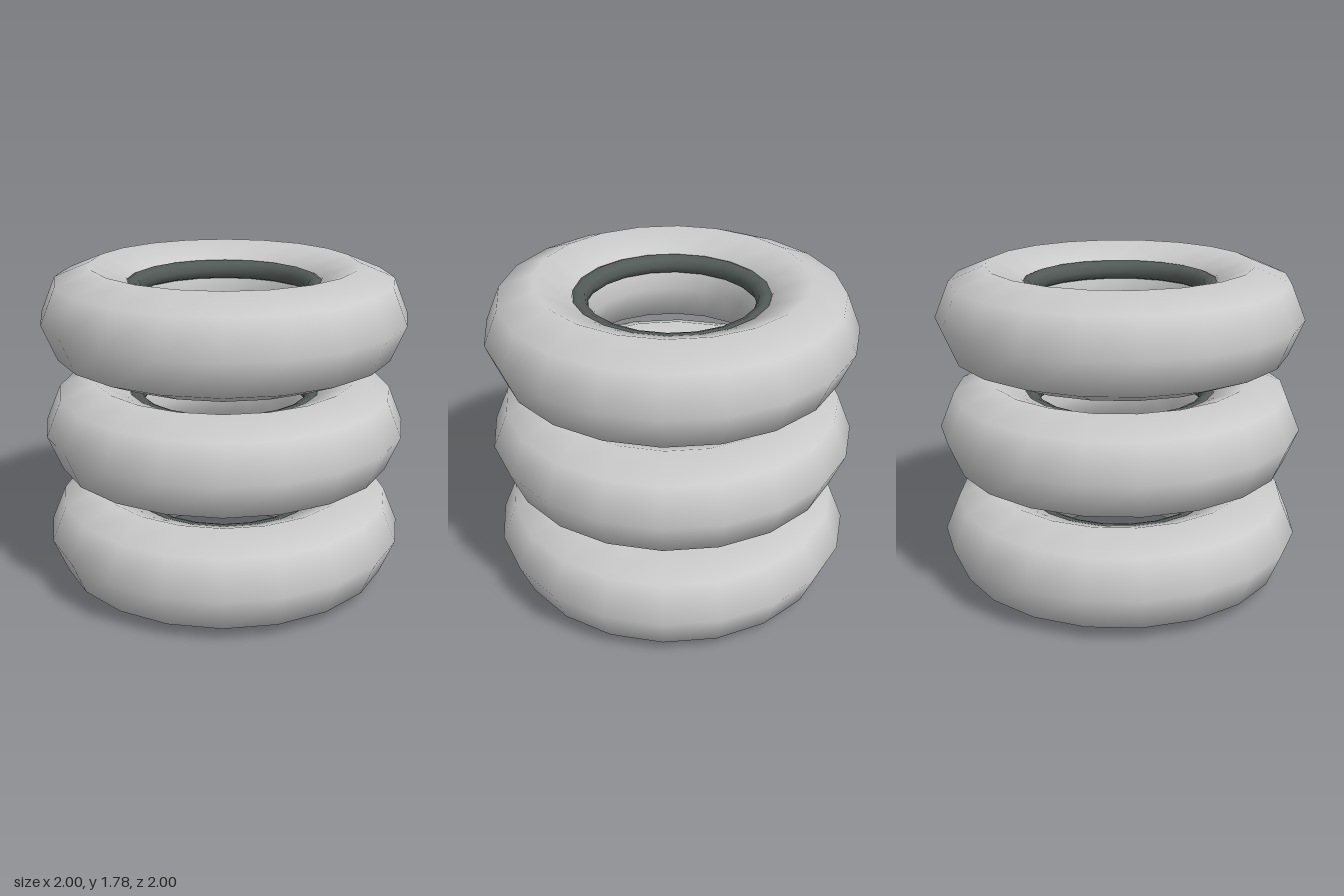
import * as THREE from 'three';

const TUBE = 0.275;      // radius of each fat ring's tube
const SPACING = 0.616;   // height between ring centres

export function createModel() {
  const model = new THREE.Group();
  const grey = new THREE.MeshStandardMaterial({ color: 0xcccccc });
  const dark = new THREE.MeshStandardMaterial({ color: 0x535b58 });

  // torus lying flat, 20 segments around and 8 around the tube
  const flatTorus = (radius, tube) =>
    new THREE.TorusGeometry(radius, tube, 8, 20).rotateX(-Math.PI / 2);

  const cushionGeometry = flatTorus(1 - TUBE, TUBE);
  const bandGeometry = flatTorus(0.5, 0.055);

  // three stacked rings, each with a dark band set into its inner upper wall
  for (let i = 0; i < 3; i++) {
    const ring = new THREE.Group();
    ring.name = `ring${i + 1}`;
    ring.position.y = TUBE + i * SPACING;

    const cushion = new THREE.Mesh(cushionGeometry, grey);
    cushion.name = 'cushion';

    const band = new THREE.Mesh(bandGeometry, dark);
    band.name = 'innerBand';
    band.position.y = TUBE / 2;

    ring.add(cushion, band);
    model.add(ring);
  }
  return model;
}
